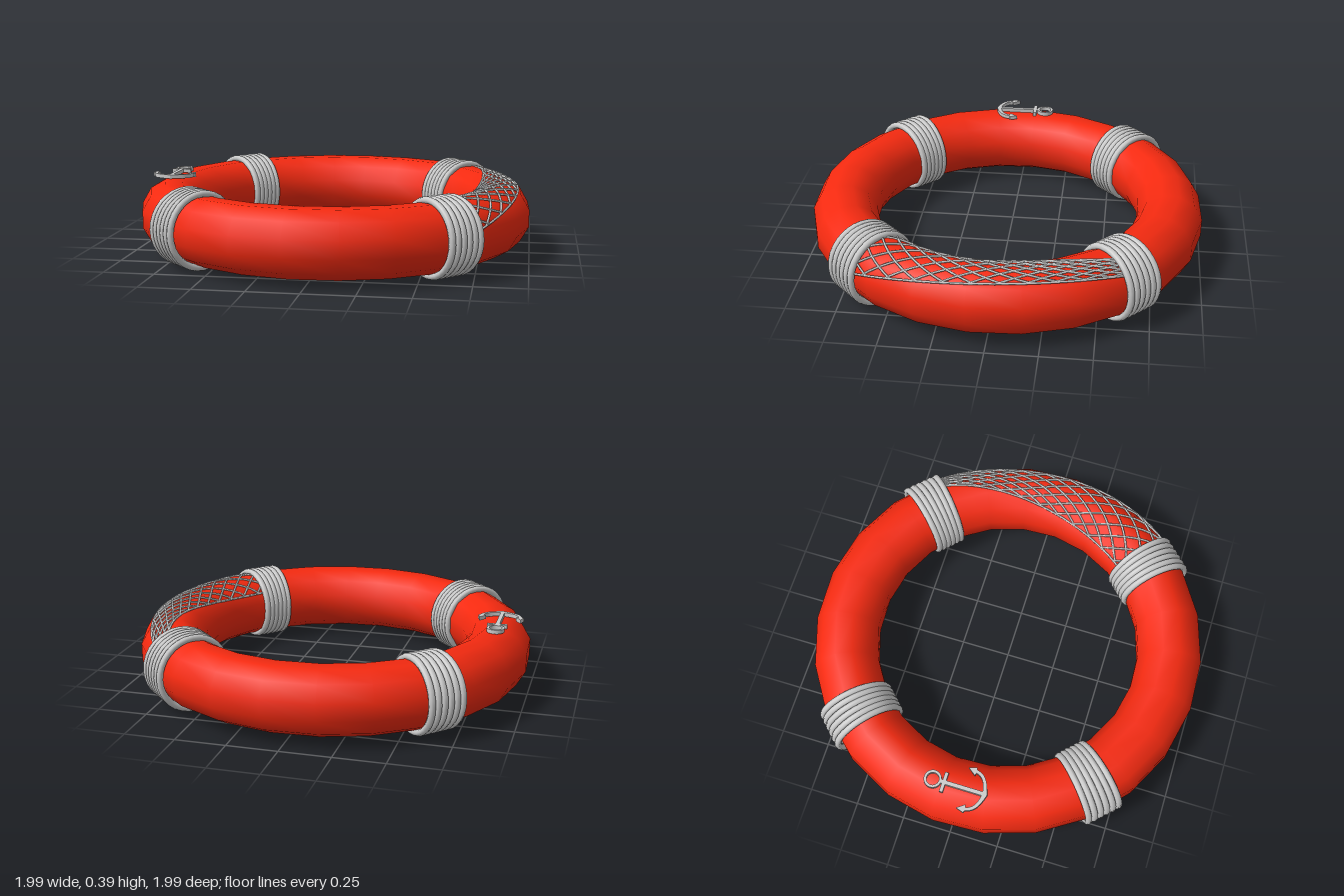
import * as THREE from 'three';
import { mergeVertices } from 'three/addons/utils/BufferGeometryUtils.js';

const RING = 0.837, TUBE = 0.168, MID_Y = 0.196;
const rad = THREE.MathUtils.degToRad;

export function createModel() {
  const model = new THREE.Group();
  const red = new THREE.MeshStandardMaterial({ color: 0xf52a10 });
  const grey = new THREE.MeshStandardMaterial({ color: 0xcccccc });
  const add = (name, geometry, material, parent = model) => {
    const mesh = new THREE.Mesh(geometry, material);
    mesh.name = name;
    parent.add(mesh);
    return mesh;
  };

  // Float ring: twelve-sided section swept in 24 steps, with seamless smooth normals
  const profile = [];
  for (let i = 0; i <= 12; i++) {
    const a = rad(15 + i * 30);
    profile.push(new THREE.Vector2(RING + TUBE * Math.cos(a), MID_Y + TUBE * Math.sin(a)));
  }
  let ring = new THREE.LatheGeometry(profile, 24, rad(10));
  ring.deleteAttribute('uv');
  ring.deleteAttribute('normal');
  ring = mergeVertices(ring, 1e-4);
  ring.computeVertexNormals();
  add('floatRing', ring, red);

  // Four rope bands, each of six slightly fanned coils
  const coil = new THREE.TorusGeometry(0.178, 0.017, 8, 32);
  for (let b = 0; b < 4; b++) {
    const angle = rad(45 + b * 90);
    const band = new THREE.Group();
    band.name = 'ropeBand';
    band.position.set(RING * Math.cos(angle), MID_Y, RING * Math.sin(angle));
    band.rotation.y = -angle;
    for (let i = 0; i < 6; i++) {
      const k = i - 2.5;
      const turn = add('ropeCoil', coil, grey, band);
      turn.position.z = k * 0.03;
      turn.rotation.y = -k * 0.023;
    }
    model.add(band);
  }

  // Net draped over the left side: s runs along the ring, t from outer to inner edge
  const net = new THREE.Group();
  net.name = 'net';
  model.add(net);
  const bend = (a, m, b, s) => a * (1 - s) * (1 - 2 * s) + m * 4 * s * (1 - s) + b * s * (2 * s - 1);
  const netPoint = (s, t) => {
    const theta = rad(-40 + 80 * s);
    const phi = rad(THREE.MathUtils.lerp(bend(38, 55, 14, s), bend(68, 128, 146, s), t));
    const r = RING + 0.17 * Math.cos(phi);
    return new THREE.Vector3(r * Math.cos(theta), MID_Y + 0.17 * Math.sin(phi), r * Math.sin(theta));
  };
  const strand = (s0, t0, s1, t1) => {
    const points = [];
    for (let i = 0; i <= 12; i++) {
      points.push(netPoint(THREE.MathUtils.lerp(s0, s1, i / 12), THREE.MathUtils.lerp(t0, t1, i / 12)));
    }
    add('netStrand', new THREE.TubeGeometry(new THREE.CatmullRomCurve3(points), 24, 0.006, 5), grey, net);
  };
  strand(0, 0, 1, 0);
  strand(0, 1, 1, 1);
  const reach = 0.42;
  for (let s = -0.36; s < 0.98; s += 0.1) {
    const a = Math.max(s, 0), b = Math.min(s + reach, 1);
    const ta = (a - s) / reach, tb = (b - s) / reach;
    strand(a, ta, b, tb);
    strand(a, 1 - ta, b, 1 - tb);
  }

  // Anchor emblem lying flat on top of the right side
  const anchor = new THREE.Group();
  anchor.name = 'anchor';
  anchor.position.set(-0.842, 0.381, 0);
  model.add(anchor);
  const plate = (name, shape) => {
    const geometry = new THREE.ExtrudeGeometry(shape, { depth: 0.02, bevelEnabled: false, curveSegments: 20 });
    add(name, geometry.rotateX(Math.PI / 2), grey, anchor);
  };
  const bar = (w, z0, z1) => new THREE.Shape([
    new THREE.Vector2(-w, z0), new THREE.Vector2(w, z0), new THREE.Vector2(w, z1), new THREE.Vector2(-w, z1),
  ]);
  const eye = new THREE.Shape().absarc(0, -0.122, 0.044, 0, Math.PI * 2, false);
  eye.holes.push(new THREE.Path().absarc(0, -0.122, 0.031, 0, Math.PI * 2, true));
  plate('anchorEye', eye);
  plate('anchorStock', bar(0.05, -0.074, -0.056));
  plate('anchorShank', bar(0.01, -0.08, 0.14));

  // Curved arms with pointed flukes
  const arms = new THREE.Shape();
  arms.moveTo(-0.103, 0.03);
  arms.lineTo(-0.115, 0.068);
  arms.lineTo(-0.104, 0.074);
  arms.bezierCurveTo(-0.095, 0.125, -0.05, 0.14, 0, 0.155);
  arms.bezierCurveTo(0.05, 0.14, 0.095, 0.125, 0.104, 0.074);
  arms.lineTo(0.115, 0.068);
  arms.lineTo(0.103, 0.03);
  arms.lineTo(0.075, 0.068);
  arms.lineTo(0.088, 0.073);
  arms.bezierCurveTo(0.08, 0.11, 0.045, 0.125, 0, 0.13);
  arms.bezierCurveTo(-0.045, 0.125, -0.08, 0.11, -0.088, 0.073);
  arms.lineTo(-0.075, 0.068);
  arms.closePath();
  plate('anchorArms', arms);

  return model;
}
